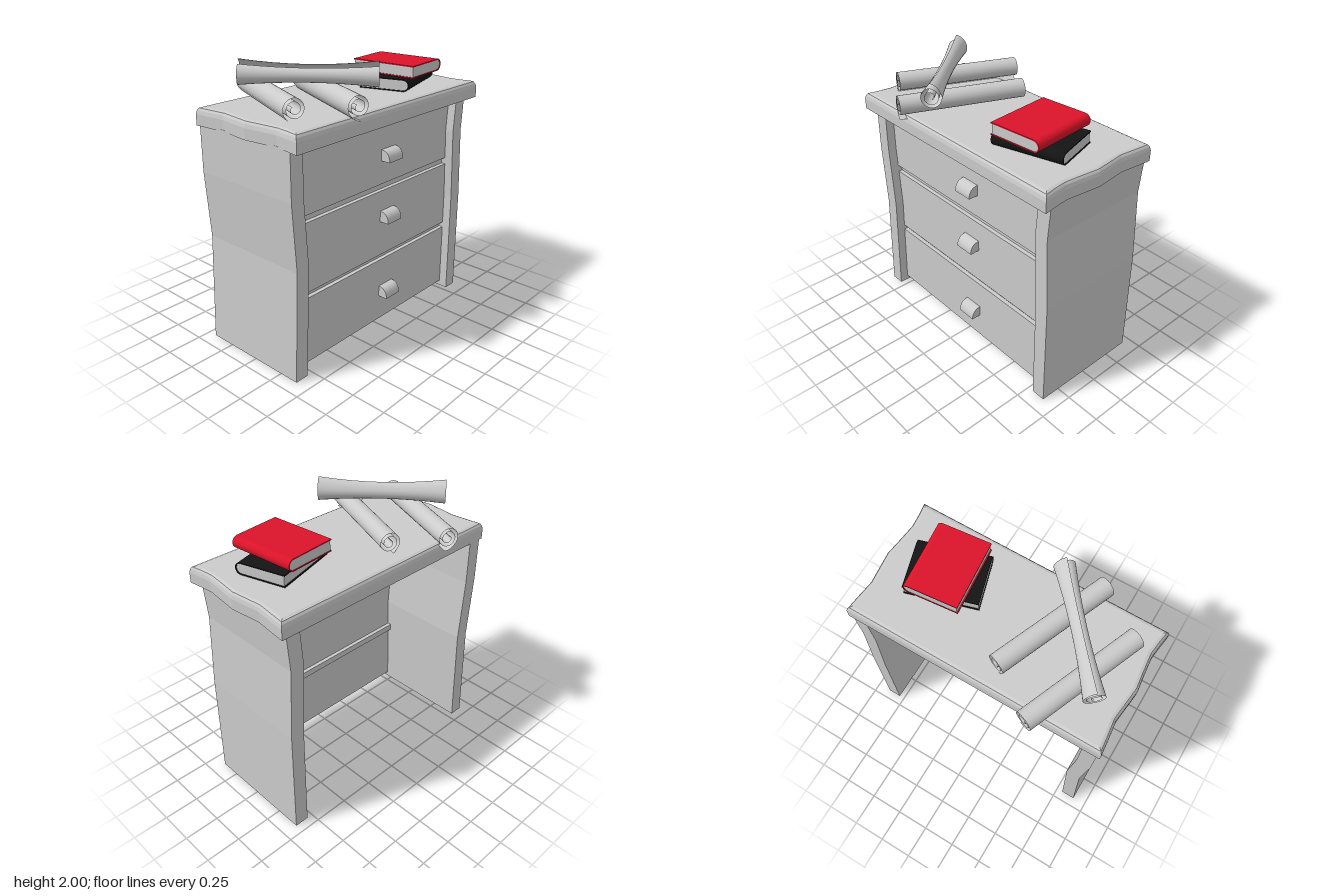
import * as THREE from 'three';

const paint = (color) => new THREE.MeshStandardMaterial({ color, flatShading: true });
const wood = paint(0xcccccc);
const paper = new THREE.MeshStandardMaterial({ color: 0xcccccc, side: THREE.DoubleSide });

function add(parent, name, geometry, material = wood) {
  const mesh = new THREE.Mesh(geometry, material);
  mesh.name = name;
  parent.add(mesh);
  return mesh;
}

function box(parent, name, x0, x1, y0, y1, z0, z1) {
  const mesh = add(parent, name, new THREE.BoxGeometry(x1 - x0, y1 - y0, z1 - z0));
  mesh.position.set((x0 + x1) / 2, (y0 + y1) / 2, (z0 + z1) / 2);
}

// Extrude an outline from z0 to z1
function extrude(shape, z0, z1) {
  const g = new THREE.ExtrudeGeometry(shape, { depth: z1 - z0, bevelEnabled: false, curveSegments: 10 });
  return g.translate(0, 0, z0);
}

// Table top: wavy side edges and rounded upper rim
function tableTop() {
  const heights = [1.57, 1.645, 1.67, 1.685, 1.692];
  const insets = [0, 0, 0.006, 0.016, 0.035];
  const zs = [-0.44, -0.33, -0.2, -0.09, 0.03, 0.15, 0.28, 0.38, 0.472];
  const edge = [0.922, 0.912, 0.897, 0.91, 0.924, 0.91, 0.897, 0.908, 0.922];
  const g = new THREE.BoxGeometry(2, 4, 8, 1, 4, 8);
  const p = g.attributes.position;
  for (let i = 0; i < p.count; i++) {
    const level = Math.round(p.getY(i) + 2), k = Math.round(p.getZ(i) + 4);
    const inset = insets[level];
    const zInset = k === 0 ? inset : k === 8 ? -inset : 0;
    p.setXYZ(i, Math.sign(p.getX(i)) * (edge[k] - inset), heights[level], zs[k] + zInset);
  }
  g.computeVertexNormals();
  return g;
}

// Bent side board; points run up the outer edge, thickness goes inwards
function sideBoard(points, thickness) {
  const inner = points.map(([x, y]) => [x + thickness, y]).reverse();
  const outline = [...points, ...inner].map(([x, y]) => new THREE.Vector2(x, y));
  return extrude(new THREE.Shape(outline), -0.435, 0.395);
}

// Cup handle: quarter-round section, flat underneath
function handle() {
  const s = new THREE.Shape();
  s.moveTo(0, 0);
  s.lineTo(0.072, 0);
  s.lineTo(0.072, 0.02);
  s.quadraticCurveTo(0.06, 0.08, 0, 0.08);
  s.closePath();
  return extrude(s, -0.0725, 0.0725).rotateY(-Math.PI / 2);
}

// Book outline with a rounded spine at +x
function bookOutline(w, h, t) {
  const s = new THREE.Shape();
  const r = h / 2 - t, x = w / 2 - h / 2;
  s.moveTo(-w / 2, t);
  s.lineTo(x, t);
  s.absarc(x, h / 2, r, -Math.PI / 2, Math.PI / 2, false);
  s.lineTo(-w / 2, h - t);
  s.closePath();
  return s;
}

function book(name, w, h, length, color) {
  const g = new THREE.Group();
  g.name = name;
  const t = 0.008, r = h / 2, x = w / 2 - r;
  const c = new THREE.Shape();
  c.moveTo(-w / 2, 0);
  c.lineTo(x, 0);
  c.absarc(x, r, r, -Math.PI / 2, Math.PI / 2, false);
  c.lineTo(-w / 2, h);
  c.lineTo(-w / 2, h - t);
  c.lineTo(x, h - t);
  c.absarc(x, r, r - t, Math.PI / 2, -Math.PI / 2, true);
  c.lineTo(-w / 2, t);
  c.closePath();
  add(g, 'cover', extrude(c, -length / 2, length / 2), paint(color));
  const pages = add(g, 'pages', extrude(bookOutline(w - 0.008, h, t), -length / 2 + 0.004, length / 2 - 0.004));
  pages.position.x = 0.003;
  return g;
}

// Rolled sheet between two points: spiral section, optional narrow waist
function scroll(name, from, to, r, waist, endAngle) {
  const a = new THREE.Vector3(...from), b = new THREE.Vector3(...to);
  const length = a.distanceTo(b), turns = 2.4;
  const g = new THREE.PlaneGeometry(1, 1, 64, 8);
  const p = g.attributes.position;
  for (let i = 0; i < p.count; i++) {
    const u = p.getX(i) + 0.5, v = p.getY(i);
    const angle = endAngle - (1 - u) * turns * Math.PI * 2;
    const flare = 0.016 * Math.max(0, (u - 0.94) / 0.06);
    const scale = 1 - waist * (1 - 4 * v * v);
    const rad = (r * (0.2 + 0.8 * Math.pow(u, 0.7)) + flare) * scale;
    p.setXYZ(i, Math.cos(angle) * rad, Math.sin(angle) * rad, v * length);
  }
  g.computeVertexNormals();
  const mesh = new THREE.Mesh(g, paper);
  mesh.name = name;
  mesh.position.copy(a).add(b).multiplyScalar(0.5);
  mesh.lookAt(b);
  return mesh;
}

export function createModel() {
  const model = new THREE.Group();
  model.name = 'drawerCabinet';

  // Carcass, open at the back
  add(model, 'tableTop', tableTop());
  add(model, 'rightSide', sideBoard([[-0.9, 0], [-0.868, 0.78], [-0.9, 1.25], [-0.9, 1.58]], 0.102));
  add(model, 'leftSide', sideBoard([[0.792, 0], [0.79, 0.8], [0.766, 1.32], [0.787, 1.58]], 0.102));

  // Drawer fronts with handles, and the recessed rails above each one
  const drawers = [[0.04, 0.52, 0.23], [0.56, 1.05, 0.82], [1.1, 1.52, 1.27]];
  const rails = [[0.52, 0.56], [1.05, 1.1], [1.52, 1.575]];
  drawers.forEach(([y0, y1, handleY], i) => {
    box(model, 'drawerFront', -0.82, 0.81, y0, y1, 0.29, 0.33);
    box(model, 'rail', -0.82, 0.81, rails[i][0] - 0.005, rails[i][1] + 0.005, 0.26, 0.3);
    add(model, 'handle', handle()).position.set(0.08, handleY, 0.33);
  });

  // Books
  const lower = book('lowerBook', 0.365, 0.085, 0.5, 0x141414);
  lower.position.set(0.475, 1.692, 0.083);
  lower.rotation.y = -1.28;
  const upper = book('upperBook', 0.38, 0.085, 0.49, 0xdc1329);
  upper.position.set(0.473, 1.785, 0.083);
  upper.rotation.y = 0.1;
  model.add(lower, upper);

  // Rolled papers, one lying across the other two
  model.add(
    scroll('scroll', [-0.425, 1.772, -0.52], [-0.755, 1.772, 0.29], 0.078, 0, -1.4),
    scroll('scroll', [-0.105, 1.77, -0.3], [-0.435, 1.765, 0.51], 0.078, 0, -1.4),
    scroll('topScroll', [-0.735, 1.905, -0.23], [-0.165, 1.895, 0.44], 0.08, 0.3, 1.6),
  );
  return model;
}
